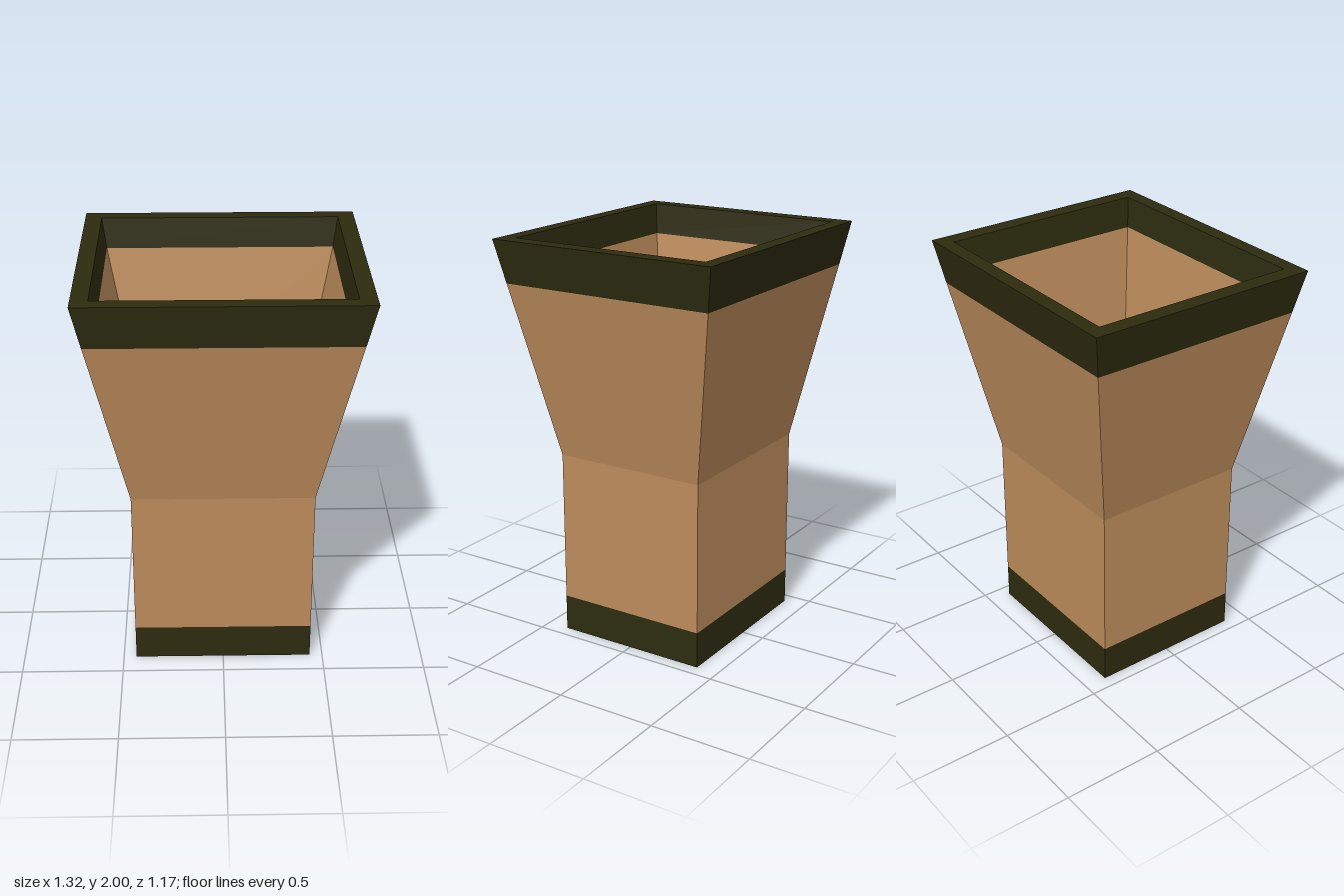
import * as THREE from 'three';

// Four-sided band through a list of [y, half width, half depth] sections.
// Listed bottom to top it faces outward; top to bottom it faces inward.
function band(sections) {
  const pos = [];
  const ring = ([y, w, d]) => [[w, y, d], [w, y, -d], [-w, y, -d], [-w, y, d]];
  for (let i = 0; i < sections.length - 1; i++) {
    const a = ring(sections[i]), b = ring(sections[i + 1]);
    for (let k = 0; k < 4; k++) {
      const n = (k + 1) % 4;
      pos.push(...a[k], ...a[n], ...b[n], ...a[k], ...b[n], ...b[k]);
    }
  }
  const geo = new THREE.BufferGeometry();
  geo.setAttribute('position', new THREE.Float32BufferAttribute(pos, 3));
  geo.computeVertexNormals();
  return geo;
}

export function createModel() {
  const group = new THREE.Group();
  const tan = new THREE.MeshStandardMaterial({ color: 0xbb8b5b });
  tan.name = 'tan';
  const darkOlive = new THREE.MeshStandardMaterial({ color: 0x2d2b0f });
  darkOlive.name = 'dark olive';

  const add = (name, geo, mat) => {
    const mesh = new THREE.Mesh(geo, mat);
    mesh.name = name;
    group.add(mesh);
    return mesh;
  };

  // Outer shell: straight lower half, flared upper half
  add('baseBand', band([[0, 0.437, 0.387], [0.18, 0.437, 0.387]]), darkOlive);
  add('outerWalls', band([
    [0.18, 0.437, 0.387], [0.93, 0.437, 0.387], [1.79, 0.616, 0.545],
  ]), tan);

  // Rim: outer band, flat top and inner lip
  add('rim', band([
    [1.79, 0.616, 0.545], [2, 0.66, 0.583], [2, 0.58, 0.51], [1.85, 0.56, 0.494],
  ]), darkOlive);

  // Hollow inside
  add('innerWalls', band([
    [1.85, 0.56, 0.494], [0.93, 0.382, 0.338], [0.18, 0.382, 0.338],
  ]), tan);

  // Floor of the hollow and underside
  const floor = add('innerFloor', new THREE.PlaneGeometry(0.764, 0.676), darkOlive);
  floor.rotation.x = -Math.PI / 2;
  floor.position.y = 0.18;
  const underside = add('underside', new THREE.PlaneGeometry(0.874, 0.774), darkOlive);
  underside.rotation.x = Math.PI / 2;

  return group;
}
